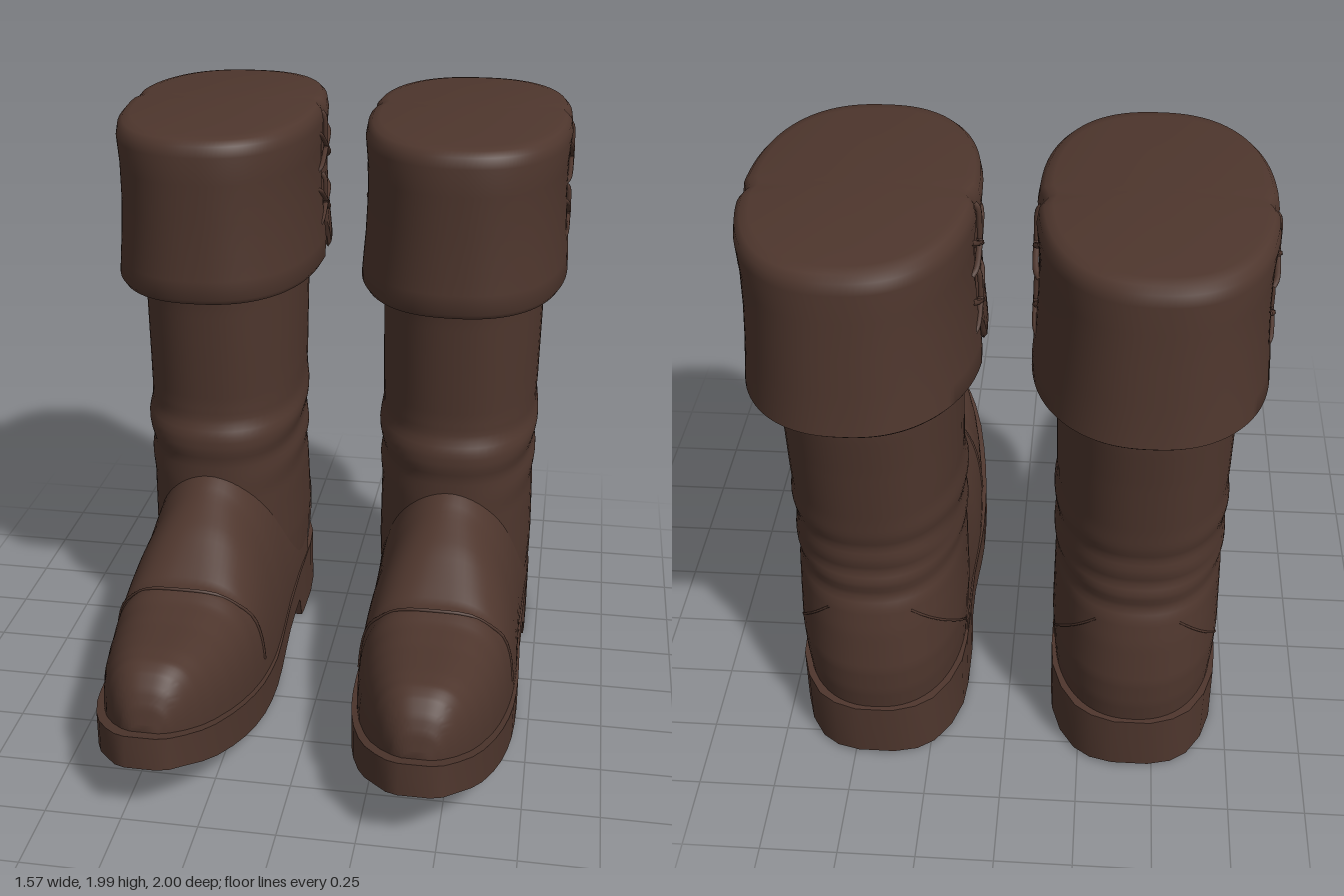
import * as THREE from 'three';
import { toCreasedNormals } from 'three/addons/utils/BufferGeometryUtils.js';

const leather = new THREE.MeshStandardMaterial({ color: 0x4e362d });
leather.name = 'brown leather';

// Linear lookup in a list of [key, value, value...] rows with rising keys
function lookup(rows, k, col = 1) {
  if (k <= rows[0][0]) return rows[0][col];
  for (let i = 1; i < rows.length; i++) {
    if (k <= rows[i][0]) {
      const a = rows[i - 1], b = rows[i];
      return THREE.MathUtils.lerp(a[col], b[col], (k - a[0]) / (b[0] - a[0]));
    }
  }
  return rows[rows.length - 1][col];
}

const power = (v, p) => Math.sign(v) * Math.abs(v) ** p;

// Skin closed cross-sections of equal length and cap both ends
function skin(rings, crease = 0.7) {
  const n = rings[0].length, index = [], points = rings.flat();
  for (let i = 0; i < rings.length - 1; i++) {
    for (let j = 0; j < n; j++) {
      const a = i * n + j, b = i * n + (j + 1) % n;
      index.push(a, a + n, b, b, a + n, b + n);
    }
  }
  [0, rings.length - 1].forEach((r, end) => {
    const c = points.length;
    const mid = rings[r].reduce((s, p) => s.add(p), new THREE.Vector3()).divideScalar(n);
    points.push(mid);
    for (let j = 0; j < n; j++) {
      const a = r * n + j, b = r * n + (j + 1) % n;
      if (end) index.push(c, b, a); else index.push(c, a, b);
    }
  });
  const g = new THREE.BufferGeometry().setFromPoints(points);
  g.setIndex(index);
  return toCreasedNormals(g, crease);
}

// Oval outline point between a front and a back z
function oval(a, y, front, back, w, n) {
  return new THREE.Vector3(w * power(Math.cos(a), 2 / n), y,
    (front + back) / 2 + (front - back) / 2 * power(Math.sin(a), 2 / n));
}

function add(group, name, geometry) {
  const m = new THREE.Mesh(geometry, leather);
  m.name = name;
  group.add(m);
}

function cord(points, radius) {
  return new THREE.TubeGeometry(new THREE.CatmullRomCurve3(points), 24, radius, 6);
}

// Sole: z, half width, top height, bottom height
const SOLE = [
  [-0.845, 0.06, 0.22, 0.02], [-0.82, 0.135, 0.22, 0.012], [-0.78, 0.19, 0.22, 0.01],
  [-0.7, 0.24, 0.22, 0.005], [-0.6, 0.272, 0.22, 0.003], [-0.5, 0.28, 0.217, 0],
  [-0.35, 0.28, 0.212, 0.003], [-0.3, 0.278, 0.205, 0.008], [-0.27, 0.277, 0.2, 0.092],
  [-0.2, 0.275, 0.185, 0.085], [-0.1, 0.272, 0.16, 0.06], [0, 0.274, 0.14, 0.038],
  [0.1, 0.278, 0.13, 0.02], [0.2, 0.28, 0.125, 0.01], [0.3, 0.278, 0.135, 0.012],
  [0.4, 0.273, 0.15, 0.025], [0.5, 0.263, 0.172, 0.045], [0.6, 0.248, 0.197, 0.07],
  [0.7, 0.228, 0.225, 0.1], [0.8, 0.198, 0.252, 0.13], [0.87, 0.168, 0.273, 0.155],
  [0.93, 0.128, 0.292, 0.178], [0.97, 0.088, 0.303, 0.193], [0.99, 0.05, 0.31, 0.2]];

// Top line of the foot: z, height
const INSTEP = [[-0.45, 0.78], [-0.1, 0.765], [0, 0.73], [0.05, 0.7], [0.2, 0.63],
  [0.36, 0.53], [0.39, 0.51], [0.42, 0.517], [0.445, 0.508], [0.48, 0.493], [0.6, 0.483],
  [0.75, 0.487], [0.82, 0.482], [0.86, 0.462], [0.9, 0.42], [0.925, 0.375], [0.94, 0.32]];

// Shaft: y, front z, back z, half width
const SHAFT = [[0.18, 0, -0.825, 0.268], [0.3, 0, -0.842, 0.276], [0.4, 0, -0.845, 0.28],
  [0.55, 0, -0.825, 0.277], [0.64, 0, -0.805, 0.275], [0.68, 0, -0.785, 0.275],
  [0.74, 0, -0.795, 0.277], [0.78, 0, -0.78, 0.275], [0.83, 0.01, -0.79, 0.278],
  [0.88, 0.005, -0.782, 0.28], [0.93, -0.02, -0.795, 0.278], [1, -0.022, -0.8, 0.275],
  [1.2, -0.012, -0.82, 0.278], [1.35, -0.005, -0.838, 0.28], [1.5, 0.01, -0.85, 0.28]];

// Cuff from the hidden underside to the top: y, front z, back z, half width
const CUFF = [[1.46, -0.03, -0.82, 0.26], [1.43, 0.1, -0.945, 0.325], [1.42, 0.122, -0.98, 0.345],
  [1.437, 0.135, -1, 0.356], [1.5, 0.13, -0.992, 0.351], [1.58, 0.125, -0.985, 0.344],
  [1.7, 0.12, -0.975, 0.338], [1.82, 0.12, -0.965, 0.338], [1.91, 0.12, -0.96, 0.346],
  [1.945, 0.112, -0.955, 0.34], [1.962, 0.09, -0.935, 0.325], [1.968, 0.05, -0.9, 0.3]];

function shaftPoint(a, y) {
  const p = oval(a, y, lookup(SHAFT, y, 1), lookup(SHAFT, y, 2), lookup(SHAFT, y, 3), 2.3);
  // slack ankle folds
  p.x *= 1 + 0.022 * Math.sin((y - 0.8 + 0.15 * p.z) * 40) * Math.exp(-(((y - 0.82) / 0.13) ** 2));
  return p;
}

// Arched foot section; t runs from the right edge to the left edge
function footPoint(t, z) {
  const base = lookup(SOLE, z, 2) - 0.02, h = lookup(INSTEP, z) - base;
  const w = lookup(SOLE, Math.min(z + 0.045, 0.99), 1) - 0.012 * Math.min(1, Math.max(0, z + 0.6));
  const p = THREE.MathUtils.clamp(1 - (z - 0.05) * 0.9, 0.72, 1);
  return new THREE.Vector3(-w * power(Math.cos(t), p), base + h * power(Math.sin(t), p), z);
}

function cuffPoint(a, [y, front, back, w]) {
  const p = oval(a, y, front, back, w, 2.4);
  const low = THREE.MathUtils.clamp(1 - (y - 1.43) / 0.45, 0, 1);
  const notch = 0.15 * Math.max(0, 1 - Math.abs(p.z + 0.475) / 0.07);
  const rearLift = 0.055 * THREE.MathUtils.smoothstep(-p.z, 0.45, 1);
  p.y += low * (notch + rearLift) + (1 - low) * 0.017 * THREE.MathUtils.smoothstep(-p.z, -0.1, 0.7);
  p.x *= 1 - 0.05 * Math.exp(-(((p.z + 0.475) / 0.03) ** 2)); // side seam groove
  return p;
}

function ring(count, fn) {
  return Array.from({ length: count }, (_, j) => fn(j / count * Math.PI * 2));
}

function createBoot() {
  const boot = new THREE.Group();

  // Sole with stepped heel
  add(boot, 'sole', skin(SOLE.map(([z, w, top, bottom]) => [
    new THREE.Vector3(-w, top, z), new THREE.Vector3(w, top, z),
    new THREE.Vector3(w, bottom, z + (z > 0.95 ? 0.01 : 0)),
    new THREE.Vector3(-w, bottom, z + (z > 0.95 ? 0.01 : 0))]), 0.6));

  // Foot
  const foot = [];
  for (let i = 0; i <= 70; i++) {
    const z = -0.45 + 1.39 * Math.sin(i / 70 * Math.PI / 2);
    foot.push(Array.from({ length: 41 }, (_, j) => footPoint(j / 40 * Math.PI, z)));
  }
  add(boot, 'foot', skin(foot, 0.9));

  // Shaft and heel
  const shaft = [];
  for (let y = 0.18; y < 1.5; y += 0.02) shaft.push(ring(64, a => shaftPoint(a, y)));
  add(boot, 'shaft', skin(shaft, 0.9));

  // Folded cuff with side notches
  add(boot, 'cuff', skin(CUFF.map(row => ring(160, a => cuffPoint(a, row))), 0.8));

  // Toe cap seam
  const toeSeam = [];
  for (let i = 0; i <= 20; i++) {
    const t = 0.12 + i / 20 * (Math.PI - 0.24);
    toeSeam.push(footPoint(t, 0.43 - 0.1 * Math.cos(t) ** 2));
  }
  add(boot, 'toeSeam', cord(toeSeam, 0.006));

  for (const side of [1, -1]) {
    // Heel counter seam
    const heelSeam = [];
    for (let i = 0; i <= 8; i++) {
      const p = shaftPoint(-0.03 - 1.1 * (i / 8) ** 1.4, 0.24 + 0.38 * i / 8);
      heelSeam.push(p.setX(p.x * side));
    }
    add(boot, 'heelSeam', cord(heelSeam, 0.004));

    // Crossed laces over the cuff seam
    const lace = (z0, y0, z1, y1) => add(boot, 'lace', cord([0, 0.1, 0.5, 0.9, 1].map((t, i) =>
      new THREE.Vector3(side * (0.341 + [-0.012, 0, 0.004, 0, -0.012][i]),
        y0 + (y1 - y0) * t, z0 + (z1 - z0) * t)), 0.009));
    for (const y of [1.61, 1.81]) {
      lace(-0.365, y + 0.08, -0.58, y - 0.05);
      lace(-0.37, y - 0.06, -0.575, y + 0.06);
    }
    lace(-0.47, 1.94, -0.475, 1.78);
    lace(-0.47, 1.72, -0.475, 1.58);
  }
  return boot;
}

export function createModel() {
  const model = new THREE.Group();
  model.name = 'bootPair';
  for (const [name, x] of [['leftBoot', 0.427], ['rightBoot', -0.427]]) {
    const boot = createBoot();
    boot.name = name;
    boot.position.x = x;
    model.add(boot);
  }
  return model;
}
